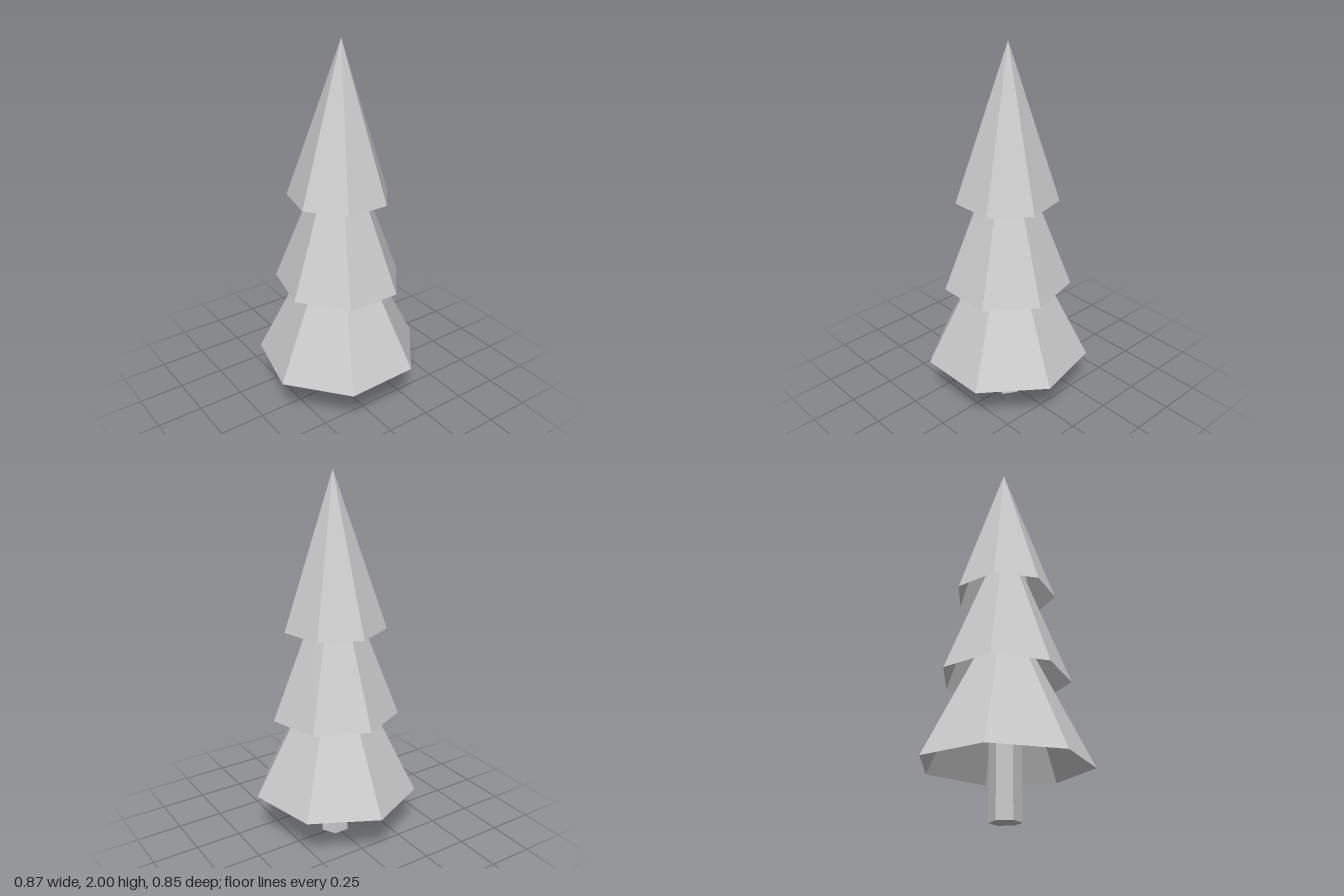
import * as THREE from 'three';

const grey = new THREE.MeshStandardMaterial({ color: 0xcccccc, side: THREE.DoubleSide });
grey.name = 'plain grey';

const CENTER_Z = 0.022;

// Faceted shape turned from a profile of [radius, y] points
function faceted(name, profile, sides, start, bend) {
  const points = profile.map(([r, y]) => new THREE.Vector2(r, y));
  let geometry = new THREE.LatheGeometry(points, sides, start);
  const pos = geometry.attributes.position;
  const v = new THREE.Vector3();
  for (let i = 0; bend && i < pos.count; i++) {
    bend(v.fromBufferAttribute(pos, i));
    pos.setXYZ(i, v.x, v.y, v.z);
  }
  geometry = geometry.toNonIndexed();
  geometry.computeVertexNormals();
  const mesh = new THREE.Mesh(geometry, grey);
  mesh.name = name;
  mesh.position.z = CENTER_Z;
  return mesh;
}

export function createModel() {
  const tree = new THREE.Group();
  tree.name = 'tree';

  // Hexagonal trunk, reaching up inside the lowest branches
  tree.add(faceted('trunk', [[0, 0], [0.082, 0], [0.082, 0.4], [0, 0.4]], 6, Math.PI / 2));

  // Hollow seven-sided branch tiers; each rim is slightly tilted
  const tiers = [
    { name: 'lowerBranches', profile: [[0.446, 0.27], [0.16, 0.84], [0, 0.84]], tiltX: 0.023, tiltZ: -0.004 },
    { name: 'middleBranches', profile: [[0.342, 0.72], [0.107, 1.32], [0, 1.32]], tiltX: -0.004, tiltZ: -0.03 },
    { name: 'upperBranches', profile: [[0.271, 1.2], [0, 2]], tiltX: -0.006, tiltZ: 0 },
  ];
  for (const { name, profile, tiltX, tiltZ } of tiers) {
    const rimY = profile[0][1];
    tree.add(faceted(name, profile, 7, Math.PI, (v) => {
      if (v.y < rimY + 0.01) v.y += tiltX * v.x + tiltZ * v.z;
      else if (v.y > 1.9) v.x += 0.01; // tip leans a little
    }));
  }
  return tree;
}
